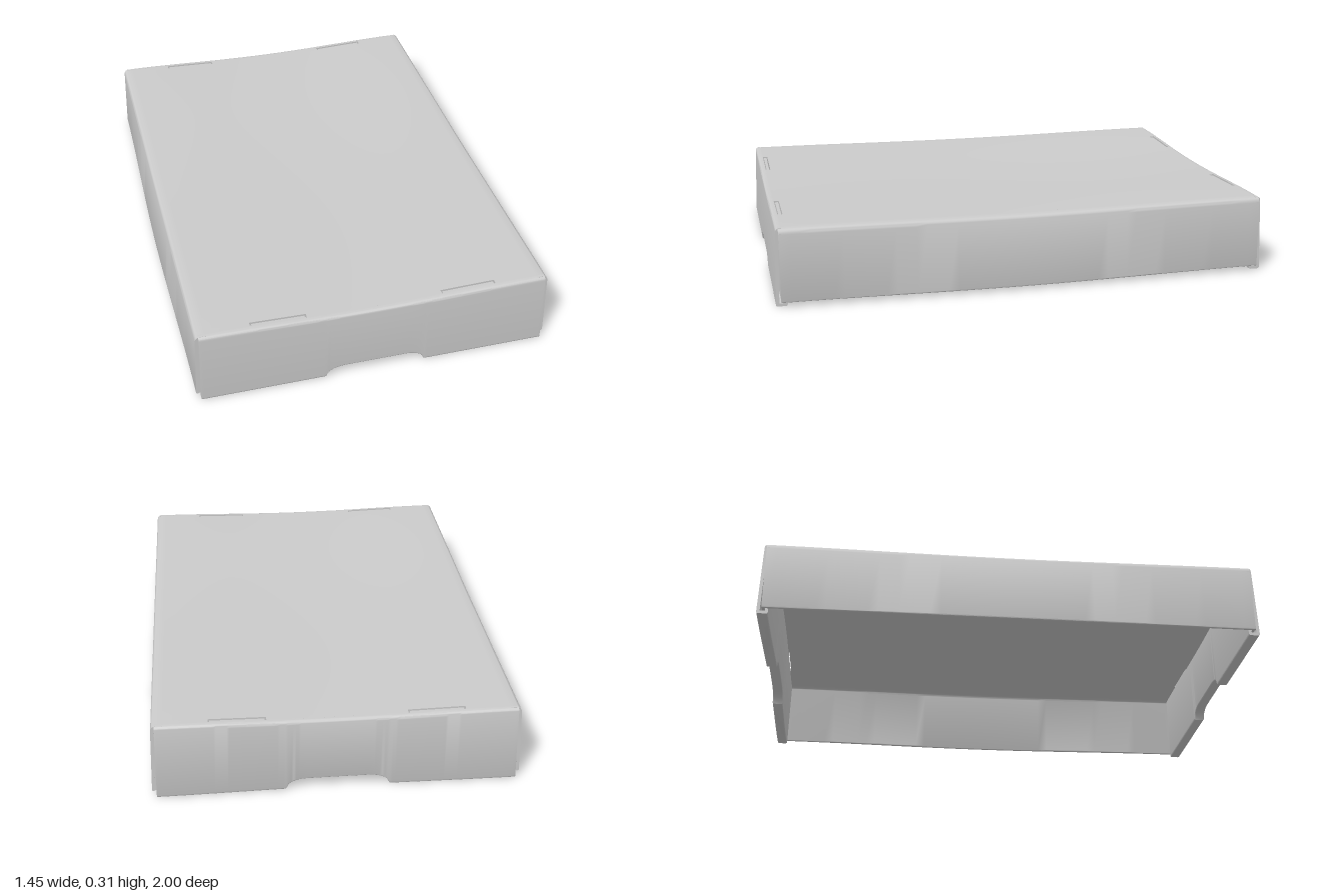
import * as THREE from 'three';
import { toCreasedNormals } from 'three/addons/utils/BufferGeometryUtils.js';

const TOP = 0.31, T = 0.012;          // lid height, board thickness
const SLOT_IN = 0.947, SLOT_OUT = 0.967, SLOT_A = 0.27, SLOT_B = 0.49;
const hump = (v, half) => Math.abs(v) < half ? Math.cos(Math.PI * v / (2 * half)) ** 2 : 0;

// Soft cardboard bend: sagging top, bowed long sides, dented back
function bend(geo) {
  const p = geo.attributes.position;
  for (let i = 0; i < p.count; i++) {
    let x = p.getX(i), y = p.getY(i), z = p.getZ(i);
    const h = y / TOP, acrossX = hump(x, 0.7), acrossZ = hump(z, 1);
    const outward = THREE.MathUtils.smoothstep(Math.abs(x), 0.6, 0.7);
    p.setY(i, y - 0.012 * acrossX * h - 0.008 * acrossZ * (0.6 + 0.4 * h));
    p.setX(i, x + Math.sign(x) * outward * 0.014 * acrossZ * (1 - h));
    if (z < -0.9) p.setZ(i, z + 0.008 * acrossX);
  }
  return toCreasedNormals(geo, 0.6);
}

// Height of the thumb notch in the lower edge of an end wall
function notch(x) {
  const u = Math.max(0, (Math.abs(x) - 0.12) / 0.08);
  return u < 1 ? 0.045 * Math.sqrt(1 - u * u) : 0;
}

// Double-layer end wall: top fold, outer layer, bottom fold, inner layer
function endWallGeometry() {
  const s = new THREE.Shape();
  s.moveTo(SLOT_OUT, TOP);
  s.lineTo(0.974, TOP);
  s.quadraticCurveTo(0.99, TOP, 0.99, 0.294);
  s.lineTo(1, 0.008);
  s.quadraticCurveTo(1, 0, 0.992, 0);
  s.lineTo(0.963, 0);
  s.quadraticCurveTo(0.955, 0, 0.955, 0.008);
  s.lineTo(0.951, TOP - T);
  s.lineTo(0.963, TOP - T);
  s.lineTo(0.967, T);
  s.lineTo(0.987, T);
  s.lineTo(0.978, 0.292);
  s.quadraticCurveTo(0.978, TOP - T, 0.973, TOP - T);
  s.lineTo(SLOT_OUT, TOP - T);
  const g = new THREE.ExtrudeGeometry(s, { depth: 1.38, steps: 138, bevelEnabled: false, curveSegments: 6 });
  g.translate(0, 0, -0.69).rotateY(-Math.PI / 2);
  const p = g.attributes.position;
  for (let i = 0; i < p.count; i++) {
    const x = p.getX(i), y = p.getY(i), k = 1 - y / TOP;
    p.setY(i, y + notch(x) * k);
    p.setX(i, x * (1 + 0.008 * k));
  }
  return g;
}

// Long side wall with its rounded fold into the top
function sideWallGeometry() {
  const s = new THREE.Shape();
  s.moveTo(0.66, TOP);
  s.lineTo(0.682, TOP);
  s.quadraticCurveTo(0.702, TOP, 0.704, 0.288);
  s.lineTo(0.713, 0.024);
  s.quadraticCurveTo(0.713, 0.018, 0.707, 0.018);
  s.quadraticCurveTo(0.701, 0.018, 0.701, 0.024);
  s.lineTo(0.692, 0.286);
  s.quadraticCurveTo(0.69, TOP - T, 0.68, TOP - T);
  s.lineTo(0.66, TOP - T);
  const g = new THREE.ExtrudeGeometry(s, { depth: 1.96, steps: 48, bevelEnabled: false, curveSegments: 6 });
  return g.translate(0, 0, -0.98);
}

// Flat board given by its limits
function board(x0, x1, y0, y1, z0, z1) {
  const n = d => Math.max(1, Math.ceil(d / 0.05));
  return new THREE.BoxGeometry(x1 - x0, y1 - y0, z1 - z0, n(x1 - x0), n(y1 - y0), n(z1 - z0))
    .translate((x0 + x1) / 2, (y0 + y1) / 2, (z0 + z1) / 2);
}

export function createModel() {
  const lid = new THREE.Group();
  lid.name = 'cardboardLid';
  const material = new THREE.MeshStandardMaterial({ color: 0xcccccc, side: THREE.DoubleSide });
  const add = (name, geo) => {
    const mesh = new THREE.Mesh(bend(geo), material);
    mesh.name = name;
    lid.add(mesh);
  };

  add('topPanel', board(-0.66, 0.66, TOP - T, TOP, -SLOT_IN, SLOT_IN));

  for (const [end, turn] of [['front', 0], ['back', Math.PI]]) {
    add(end + 'Wall', endWallGeometry().rotateY(turn));

    // Bridges of the top panel between the slots
    for (const [a, b] of [[-0.66, -SLOT_B], [-SLOT_A, SLOT_A], [SLOT_B, 0.66]])
      add(end + 'SlotBridge', board(a, b, TOP - T, TOP, SLOT_IN, SLOT_OUT).rotateY(turn));

    for (const side of [-1, 1]) {
      // Locking tab of the inner layer standing in its slot
      const tab = board(SLOT_A + 0.006, SLOT_B - 0.006, TOP - T - 0.004, TOP - 0.004, 0.951, 0.963);
      add(end + 'LockingTab', tab.translate(side < 0 ? -SLOT_A - SLOT_B : 0, 0, 0).rotateY(turn));

      // Corner flap tucked between the two layers
      const flap = board(0.56, 0.704, 0.02, 0.29, 0.968, 0.979);
      add(end + 'CornerFlap', flap.translate(side < 0 ? -1.264 : 0, 0, 0).rotateY(turn));
    }
  }

  add('leftWall', sideWallGeometry());
  add('rightWall', sideWallGeometry().rotateY(Math.PI));
  return lid;
}
